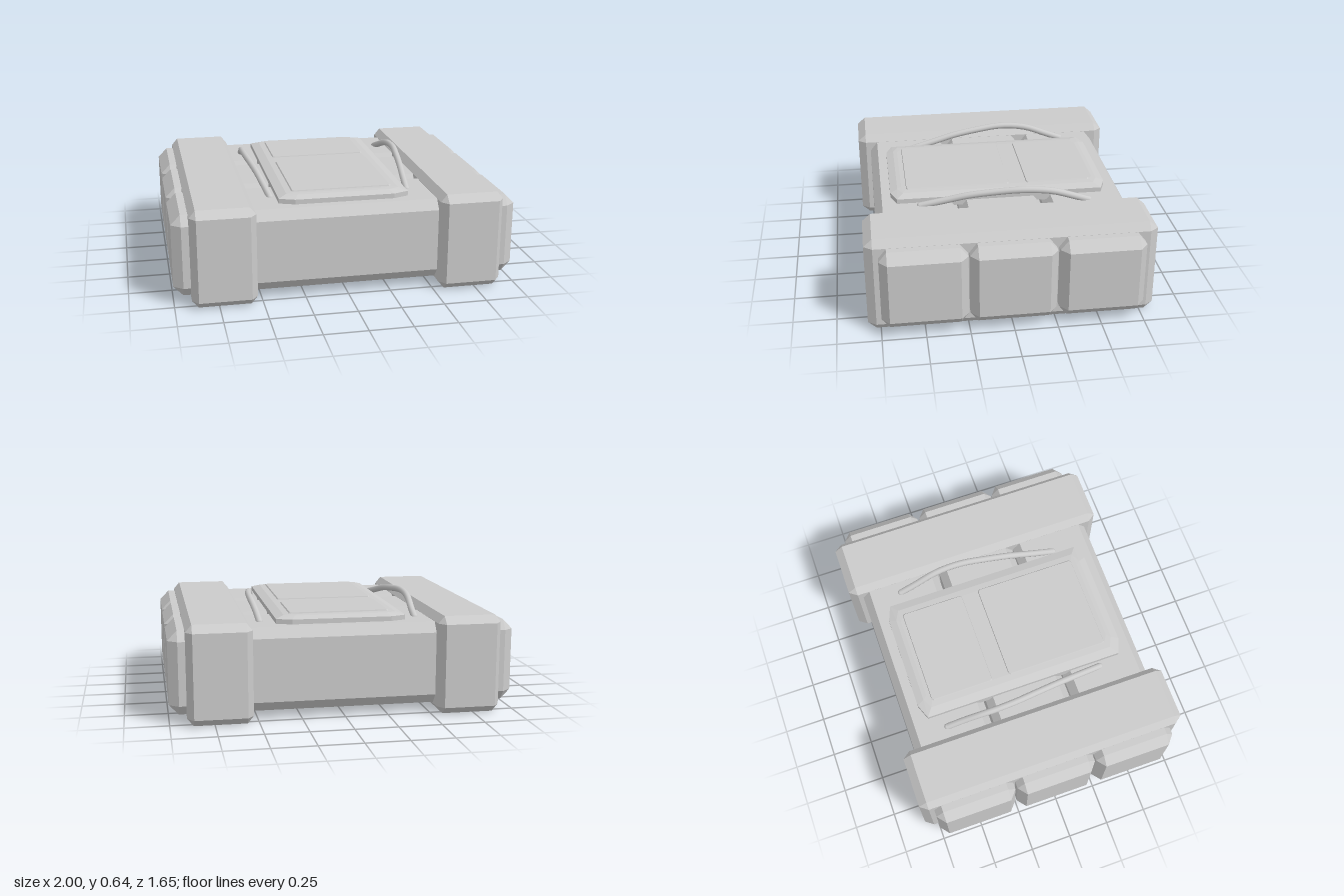
import * as THREE from 'three';
import { ConvexGeometry } from 'three/addons/geometries/ConvexGeometry.js';

const material = new THREE.MeshStandardMaterial({ color: 0xcccccc });
const flatMaterial = new THREE.MeshStandardMaterial({ color: 0xcccccc, flatShading: true });

function part(name, geometry, mat = flatMaterial) {
  const mesh = new THREE.Mesh(geometry, mat);
  mesh.name = name;
  return mesh;
}

// Box with every edge and corner cut off; half sizes h, cuts c per axis
function chamferedBox(h, c) {
  const points = [];
  for (const sx of [-1, 1]) for (const sy of [-1, 1]) for (const sz of [-1, 1]) {
    for (let face = 0; face < 3; face++) {
      const p = [sx, sy, sz].map((s, i) => s * (h[i] - (i === face ? 0 : c[i])));
      points.push(new THREE.Vector3(...p));
    }
  }
  return new ConvexGeometry(points);
}

// Stack of rectangular rings with cut corners: [halfX, halfZ, y, cutX, cutZ]
function slab(rings) {
  const points = [];
  for (const [x, z, y, cx, cz] of rings)
    for (const sx of [-1, 1]) for (const sz of [-1, 1])
      points.push(
        new THREE.Vector3(sx * x, y, sz * (z - cz)),
        new THREE.Vector3(sx * (x - cx), y, sz * z));
  return new ConvexGeometry(points);
}

export function createModel() {
  const model = new THREE.Group();
  model.name = 'crate';

  // Three beams side by side
  [-0.505, 0, 0.5].forEach((z, i) => {
    const beam = part('beam' + (i + 1), chamferedBox([1, 0.24, 0.246], [0.055, 0.057, 0.045]));
    beam.position.set(0, 0.29, z);
    model.add(beam);
  });

  // Thick bands across the beams
  for (const s of [-1, 1]) {
    const band = part(s > 0 ? 'leftBand' : 'rightBand',
      chamferedBox([0.186, 0.287, 0.826], [0.036, 0.043, 0.048]));
    band.position.set(s * 0.717, 0.287, -0.003);
    model.add(band);
  }

  // Panel on top with two shallow raised fields
  const panel = new THREE.Group();
  panel.name = 'topPanel';
  panel.add(part('panelBase', slab([
    [0.38, 0.648, 0.5, 0.09, 0.035],
    [0.38, 0.648, 0.558, 0.09, 0.035],
    [0.33, 0.605, 0.573, 0.06, 0.03],
    [0.29, 0.58, 0.576, 0.04, 0.025],
  ])));
  for (const [z0, z1] of [[-0.56, -0.17], [-0.07, 0.555]]) {
    const h = (z1 - z0) / 2;
    const field = part('raisedField', slab([
      [0.3, h, 0.57, 0.01, 0.01],
      [0.29, h - 0.005, 0.582, 0.01, 0.01],
    ]));
    field.position.z = (z0 + z1) / 2;
    panel.add(field);
  }
  model.add(panel);

  // Curved handles beside the panel
  const path = [
    [0.41, 0.525, 0.48], [0.428, 0.56, 0.33], [0.445, 0.591, 0.2],
    [0.465, 0.613, 0.04], [0.481, 0.625, -0.1], [0.484, 0.619, -0.22],
    [0.479, 0.602, -0.31], [0.468, 0.562, -0.42], [0.462, 0.525, -0.52],
  ];
  for (const s of [-1, 1]) {
    const curve = new THREE.CatmullRomCurve3(
      path.map(([x, y, z]) => new THREE.Vector3(s * x, y, z)));
    const handle = new THREE.Group();
    handle.name = s > 0 ? 'leftHandle' : 'rightHandle';
    handle.add(part('handleBar', new THREE.TubeGeometry(curve, 24, 0.02, 10), material));
    // Rounded ends
    for (const t of [0, 1]) {
      const end = part('handleEnd', new THREE.SphereGeometry(0.02, 10, 8), material);
      end.position.copy(curve.getPoint(t));
      handle.add(end);
    }
    model.add(handle);
  }
  return model;
}
